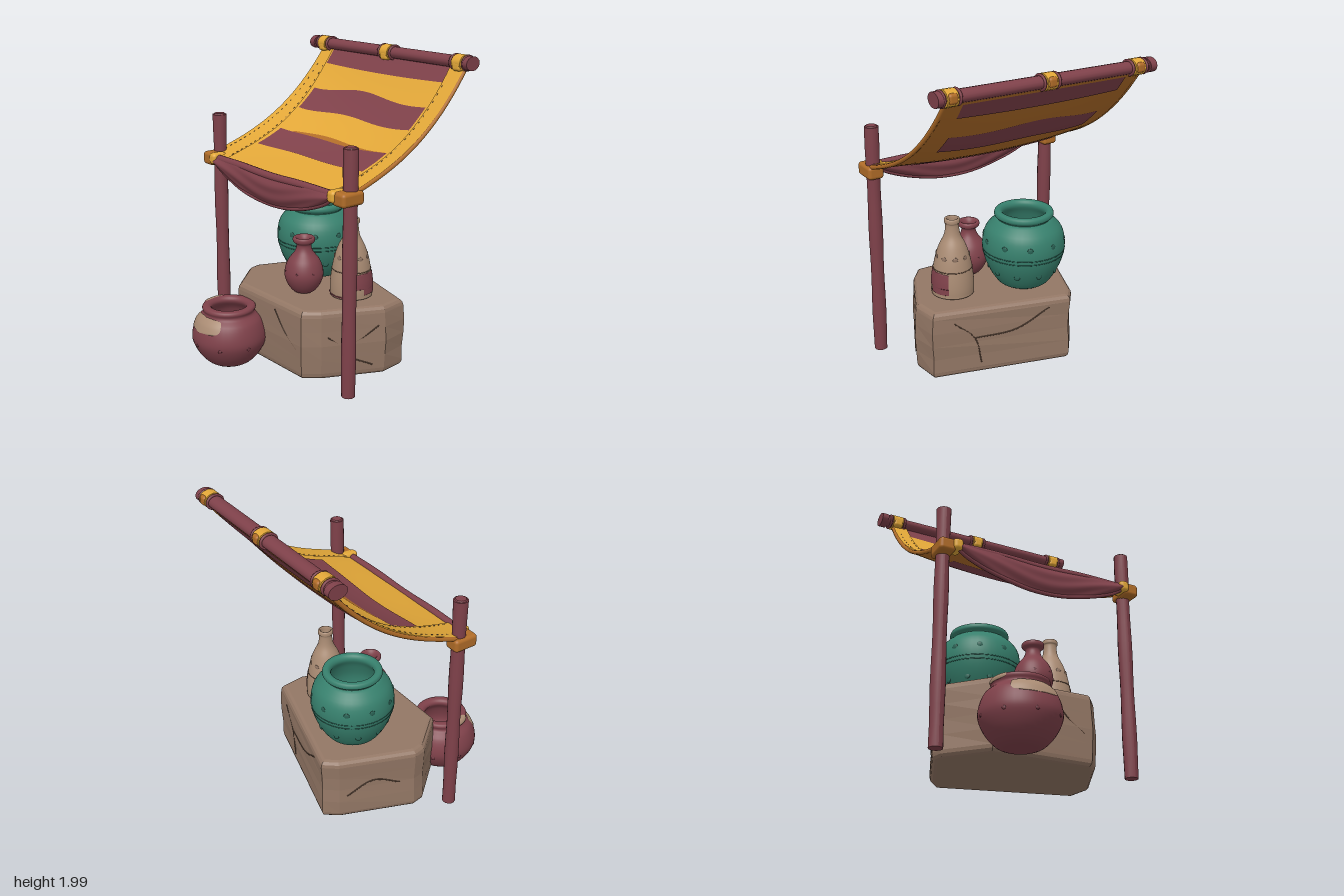
import * as THREE from 'three';
import { RoundedBoxGeometry } from 'three/addons/geometries/RoundedBoxGeometry.js';

const mat = (name, color, extra = {}) => {
  const m = new THREE.MeshStandardMaterial({ color, ...extra });
  m.name = name;
  return m;
};

export function createModel() {
  const root = new THREE.Group();
  root.name = 'marketStall';
  const M = {
    maroon: mat('maroon', 0x7f414a, { side: THREE.DoubleSide }),
    darkMaroon: mat('darkMaroon', 0x6a343d),
    yellow: mat('yellow', 0xe2a738),
    ochre: mat('ochre', 0xb06c28),
    teal: mat('teal', 0x37806d),
    darkTeal: mat('darkTeal', 0x2a6456),
    tan: mat('tan', 0xa98b73),
    stone: mat('stone', 0x937765),
    darkBrown: mat('darkBrown', 0x6b5242),
  };
  const add = (name, geo, material, x = 0, y = 0, z = 0, parent = root) => {
    const m = new THREE.Mesh(geo, material);
    m.name = name;
    m.position.set(x, y, z);
    parent.add(m);
    return m;
  };

  // Surface from a rule f(u, v) -> [x, y, z]
  const sheet = (f, nu, nv, flip = false) => {
    const pos = [], idx = [];
    for (let j = 0; j <= nv; j++)
      for (let i = 0; i <= nu; i++) pos.push(...f(i / nu, j / nv));
    for (let j = 0; j < nv; j++)
      for (let i = 0; i < nu; i++) {
        const a = j * (nu + 1) + i, b = a + 1, c = a + nu + 1, d = c + 1;
        idx.push(...(flip ? [a, b, c, b, d, c] : [a, c, b, b, c, d]));
      }
    const g = new THREE.BufferGeometry();
    g.setAttribute('position', new THREE.Float32BufferAttribute(pos, 3));
    g.setIndex(idx);
    g.computeVertexNormals();
    return g;
  };
  const path = (pts) => new THREE.CatmullRomCurve3(pts.map((p) => new THREE.Vector3(...p)));

  // Canopy: hanging curve, sagging between its side edges
  const canopy = (x, z, off = 0) => {
    const t = 0.33 - z;
    const s = 0.3 + 1.05 * t * t, n = Math.hypot(1, s);
    const across = 1 - ((x - 0.02) / 0.67) ** 2;
    const sag = 0.052 * across * Math.sin(Math.PI * Math.min(1, Math.max(0, t)) ** 1.4);
    return [x, 1.275 + 0.3 * t + 0.35 * t ** 3 - sag + off / n, z + (off * s) / n];
  };
  const clothPiece = (name, x0, x1, z0, z1, off, material, flip = false) =>
    add(name, sheet((u, v) => {
      const zMid = z0(0) + (z1(0) - z0(0)) * v;
      const x = x0(zMid) + (x1(zMid) - x0(zMid)) * u;
      return canopy(x, z0(x) + (z1(x) - z0(x)) * v, off);
    }, 24, 24, flip), material);
  const k = (c) => () => c;
  const left = (z) => -0.63 - 0.02 * (z + 0.67), right = (z) => 0.665 + 0.025 * (z + 0.67);
  const leftHem = (z) => -0.53 + 0.07 * (z + 0.6), rightHem = (z) => 0.56 + 0.02 * (z + 0.6);
  clothPiece('canopyTop', left, right, k(-0.67), k(0.33), 0, M.yellow);
  clothPiece('canopyUnderside', left, right, k(-0.67), k(0.33), -0.018, M.ochre, true);
  clothPiece('hemRight', (z) => left(z) - 0.008, leftHem, k(-0.66), k(0.33), 0.01, M.yellow);
  clothPiece('hemLeft', rightHem, (z) => right(z) + 0.008, k(-0.66), k(0.33), 0.01, M.yellow);

  // Painted stripes on both faces of the cloth
  const wave = (c, amp) => (x) => c - amp * (0.5 + 0.5 * Math.cos(Math.PI * 2 * x)) + 0.005 * Math.sin(9 * x);
  const stripes = [
    [k(-0.66), k(-0.59)],
    [wave(-0.46, 0.04), wave(-0.322, 0.036)],
    [wave(-0.14, 0.015), wave(0.055, 0.02)],
  ];
  stripes.forEach(([a, b], i) => {
    const x0 = i ? k(-0.5 + (i - 1) * 0.03) : k(-0.53), x1 = k(i ? 0.54 : 0.56);
    clothPiece('stripeTop', x0, x1, a, b, 0.004, M.maroon);
    clothPiece('stripeUnderside', x0, x1, a, b, -0.022, M.maroon, true);
  });
  clothPiece('clothFold', k(-0.35), k(0.52), wave(-0.143, 0.045), wave(-0.14, 0.015), 0.004, M.ochre);

  // Canopy side cords and stitching
  const steps = [...Array(13).keys()].map((i) => -0.66 + (i * 0.98) / 12);
  for (const edge of [left, right])
    add('canopyEdge', new THREE.TubeGeometry(path(steps.map((z) => canopy(edge(z), z, -0.008))), 40, 0.014, 8), M.ochre);
  for (const [hem, d] of [[leftHem, -0.015], [rightHem, 0.015], [left, 0.03]])
    for (let i = 0; i < 22; i++) {
      const z = -0.57 + i * 0.039;
      const st = add('stitch', new THREE.BoxGeometry(0.004, 0.004, 0.014), M.darkBrown);
      st.position.set(...canopy(hem(z) + d, z, 0.01));
      st.lookAt(...canopy(hem(z) + d, z + 0.01, 0.01));
    }

  // Front roll and drooping valance with a front and a back layer
  add('frontRoll', new THREE.TubeGeometry(path([[-0.6, 1.275, 0.32], [-0.3, 1.278, 0.325], [0.02, 1.27, 0.325], [0.3, 1.278, 0.325], [0.63, 1.275, 0.32]]), 40, 0.026, 10), M.maroon);
  const droop = (u) => 0.03 + 0.16 * Math.pow(Math.sin(Math.PI * u), 0.75);
  const valance = (side) => (u, v) => [
    -0.58 + 1.19 * u - 0.03 * (u - 0.5) * v,
    1.285 - droop(u) * v,
    0.334 + side * (0.008 + 0.024 * Math.sin(Math.PI * v)) + 0.004 * Math.sin(v * 14 + 3 * Math.cos(u * 6)) * Math.sin(Math.PI * u),
  ];
  add('valanceFront', sheet(valance(1), 48, 16), M.maroon);
  add('valanceBack', sheet(valance(-1), 48, 16, true), M.maroon);
  add('valanceHem', new THREE.TubeGeometry(path([...Array(21).keys()].map((i) => valance(0)(i / 20, 1))), 60, 0.014, 8), M.maroon);

  // Poles with brackets and cloth ties
  for (const [x, tie] of [[-0.63, -0.57], [0.66, 0.61]]) {
    const pole = new THREE.CylinderGeometry(0.044, 0.044, 1.53, 14, 12);
    const p = pole.attributes.position;
    for (let i = 0; i < p.count; i++) {
      const y = p.getY(i), s = 1 + 0.05 * Math.sin(y * 11 + x);
      p.setXYZ(i, p.getX(i) * s, y, p.getZ(i) * s);
    }
    pole.computeVertexNormals();
    add('pole', pole, M.maroon, x, 0.785, 0.25);
    add('poleTop', new THREE.CylinderGeometry(0.033, 0.04, 0.012, 14), M.maroon, x, 1.552, 0.25);
    add('bracket', new RoundedBoxGeometry(0.105, 0.085, 0.165, 3, 0.022), M.ochre, x + Math.sign(x) * 0.005, 1.265, 0.27);
    add('clothTie', new RoundedBoxGeometry(0.065, 0.075, 0.11, 3, 0.024), M.yellow, tie, 1.275, 0.312);
  }

  // Rear beam with wraps and cords
  const rod = (name, r, len, material, x, stretch = 1) => {
    const m = add(name, new THREE.CylinderGeometry(r, r, len, 16), material, x, 1.945, -0.662);
    m.rotation.z = Math.PI / 2;
    m.scale.z = stretch;
    return m;
  };
  rod('beam', 0.038, 1.44, M.maroon, 0, 1.25);
  for (const s of [-1, 1]) rod('beamEnd', 0.044, 0.045, M.maroon, s * 0.707, 1.35);
  for (const x of [-0.61, 0.01, 0.64]) {
    rod('beamWrap', 0.05, 0.07, M.yellow, x, 1.2);
    add('wrapKnot', new RoundedBoxGeometry(0.068, 0.06, 0.06, 3, 0.02), M.yellow, x, 1.925, -0.632);
    add('wrapBack', new RoundedBoxGeometry(0.06, 0.06, 0.045, 3, 0.018), M.ochre, x, 1.95, -0.705);
    for (const d of [-0.05, 0.05]) {
      const ring = add('beamCord', new THREE.TorusGeometry(0.043, 0.008, 8, 20), M.maroon, x + d, 1.945, -0.662);
      ring.rotation.y = Math.PI / 2;
      ring.scale.x = 1.2;
    }
  }

  // Stone block: worn corners, softened edges, slightly uneven faces
  const plan = [[0.33, 0.345], [0.41, 0.25], [0.59, -0.12], [0.565, -0.3], [-0.3, -0.525], [-0.37, -0.44], [-0.55, 0.02], [-0.535, 0.1], [-0.33, 0.345]];
  const shape = new THREE.Shape(plan.map(([x, z]) => new THREE.Vector2(x, -z)));
  const block = new THREE.ExtrudeGeometry(shape, { depth: 0.37, steps: 4, bevelEnabled: true, bevelThickness: 0.042, bevelSize: 0.035, bevelOffset: -0.035, bevelSegments: 3 });
  block.rotateX(-Math.PI / 2);
  const bp = block.attributes.position;
  for (let i = 0; i < bp.count; i++) {
    const x = bp.getX(i), y = bp.getY(i), z = bp.getZ(i);
    const n = 1 + 0.01 * Math.sin(17 * y + 9 * x + 5 * z);
    bp.setXYZ(i, x * n, y, z * n);
  }
  block.computeVertexNormals();
  add('stoneBlock', block, M.stone, 0, 0.068, 0);
  // Cracks: polylines of (position along face, height)
  const crack = (face, pts) => {
    const a = plan[face], b = plan[(face + 1) % plan.length];
    const c = path(pts.map(([u, y]) => [a[0] + (b[0] - a[0]) * u, y, a[1] + (b[1] - a[1]) * u]));
    add('crack', new THREE.TubeGeometry(c, 16, 0.004, 5), M.darkBrown);
  };
  crack(1, [[0.1, 0.31], [0.35, 0.25], [0.6, 0.28], [0.9, 0.36]]);
  crack(1, [[0.35, 0.25], [0.45, 0.17], [0.8, 0.1]]);
  crack(3, [[0.15, 0.4], [0.3, 0.28], [0.35, 0.1]]);
  crack(3, [[0.3, 0.28], [0.6, 0.3], [0.85, 0.42]]);
  crack(5, [[0.1, 0.2], [0.45, 0.3], [0.8, 0.25]]);
  crack(8, [[0.6, 0.42], [0.75, 0.3], [0.92, 0.22]]);

  // Turned pots: smooth profile of (radius, height), with dimples and patches
  const spline = (pts) => new THREE.SplineCurve(pts.map((p) => new THREE.Vector2(...p)));
  const pot = (name, pts, material, x, z) => {
    const g = new THREE.Group();
    g.name = name;
    g.position.set(x, 0, z);
    root.add(g);
    const profile = spline(pts).getPoints(60).map((p) => p.setX(Math.max(0, p.x)));
    add(name + 'Body', new THREE.LatheGeometry(profile, 40), material, 0, 0, 0, g);
    return g;
  };
  const dimples = (g, n, r, y, size, material, start = 0.2) => {
    for (let i = 0; i < n; i++) {
      const a = start + (i / n) * Math.PI * 2;
      const d = add('dimple', new THREE.SphereGeometry(size, 12, 6), material, Math.sin(a) * r, y, Math.cos(a) * r, g);
      d.rotation.y = a;
      d.scale.z = 0.3;
    }
  };
  const groove = (g, r, y, material) => {
    const t = add('groove', new THREE.TorusGeometry(r, 0.003, 5, 40), material, 0, y, 0, g);
    t.rotation.x = Math.PI / 2;
  };
  // Patch lying on a pot; a higher power makes its corners squarer
  const patch = (g, pts, material, mid, half, power) => {
    const c = spline(pts);
    add('paintPatch', sheet((u, v) => {
      const p = c.getPoint(v), r = p.x + 0.004;
      const a = mid + half * (2 * u - 1) * Math.sqrt(1 - Math.abs(2 * v - 1) ** power);
      return [Math.sin(a) * r, p.y, Math.cos(a) * r];
    }, 20, 16, true), material, 0, 0, 0, g);
  };

  const jar = pot('greenJar', [[0, 0.487], [0.13, 0.488], [0.19, 0.54], [0.245, 0.65], [0.265, 0.76], [0.245, 0.86], [0.19, 0.922], [0.168, 0.935],
    [0.188, 0.955], [0.182, 0.982], [0.15, 0.985], [0.135, 0.95], [0.17, 0.88], [0.2, 0.75], [0.15, 0.56], [0, 0.54]], M.teal, -0.165, -0.195);
  dimples(jar, 10, 0.259, 0.805, 0.019, M.darkTeal);
  dimples(jar, 10, 0.227, 0.61, 0.019, M.darkTeal, 0.5);
  groove(jar, 0.263, 0.735, M.darkTeal);
  groove(jar, 0.26, 0.71, M.darkTeal);

  const vase = pot('smallVase', [[0, 0.487], [0.06, 0.488], [0.105, 0.54], [0.125, 0.61], [0.105, 0.69], [0.058, 0.755], [0.047, 0.8],
    [0.068, 0.82], [0.07, 0.843], [0.055, 0.85], [0.035, 0.82], [0.03, 0.76], [0, 0.74]], M.maroon, 0.065, 0.105);
  dimples(vase, 7, 0.122, 0.63, 0.009, M.darkMaroon, 0.5);

  const bottle = pot('bottle', [[0, 0.487], [0.12, 0.488], [0.135, 0.51], [0.132, 0.6], [0.113, 0.72], [0.085, 0.81], [0.052, 0.88], [0.042, 0.95],
    [0.05, 0.965], [0.048, 0.988], [0.035, 0.988], [0.028, 0.94], [0, 0.9]], M.tan, 0.3, -0.09);
  dimples(bottle, 9, 0.105, 0.747, 0.017, M.stone, 0);
  groove(bottle, 0.123, 0.665, M.darkBrown);
  patch(bottle, [[0.135, 0.555], [0.132, 0.6], [0.124, 0.658]], M.maroon, 1.68, 0.75, 24);
  patch(bottle, [[0.136, 0.518], [0.135, 0.54], [0.134, 0.565]], M.maroon, 1.95, 0.5, 24);
  patch(bottle, [[0.122, 0.489], [0.131, 0.498], [0.136, 0.509]], M.maroon, 0.1, 1, 10);

  const floor = pot('floorPot', [[0, 0.01], [0.11, 0.011], [0.185, 0.07], [0.235, 0.16], [0.238, 0.23], [0.21, 0.31], [0.165, 0.355],
    [0.172, 0.385], [0.16, 0.403], [0.125, 0.402], [0.112, 0.37], [0.16, 0.3], [0.18, 0.18], [0.1, 0.07], [0, 0.06]], M.maroon, -0.228, 0.49);
  dimples(floor, 8, 0.238, 0.17, 0.012, M.darkMaroon, 0.7);
  patch(floor, [[0.23, 0.265], [0.21, 0.31], [0.189, 0.337], [0.17, 0.354]], M.tan, -0.02, 0.72, 5);
  patch(floor, [[0.171, 0.37], [0.173, 0.387], [0.161, 0.404], [0.135, 0.407]], M.tan, -1.45, 0.5, 6);
  return root;
}
